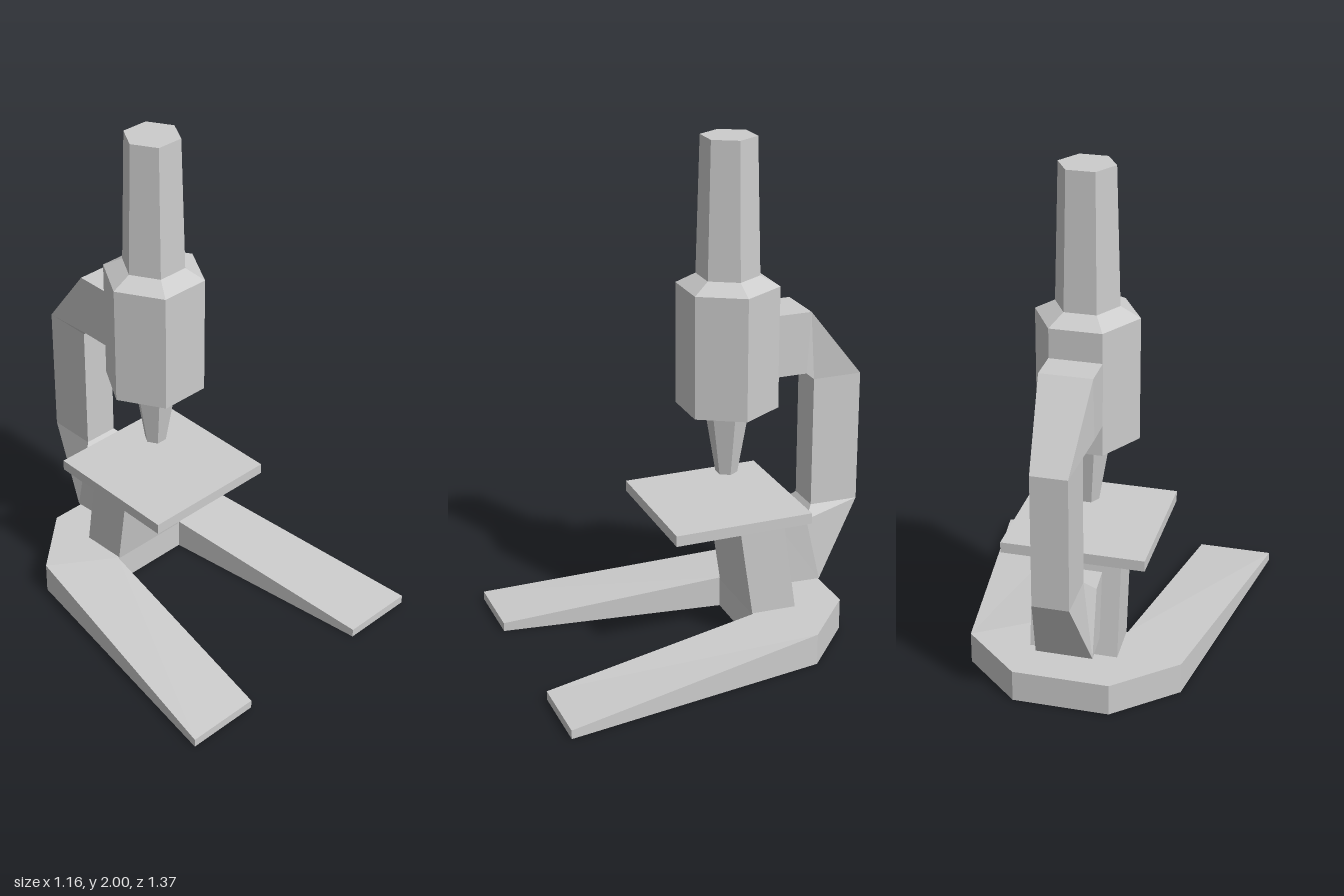
import * as THREE from 'three';

const material = new THREE.MeshStandardMaterial({ color: 0xcccccc, flatShading: true });

function addMesh(parent, name, geometry, x = 0, y = 0, z = 0) {
  const mesh = new THREE.Mesh(geometry, material);
  mesh.name = name;
  mesh.position.set(x, y, z);
  parent.add(mesh);
}

// Skins a row of four-cornered sections; each section's normal points along the row.
function loft(sections) {
  const index = [0, 2, 1, 0, 3, 2];
  for (let s = 0; s < sections.length - 1; s++) {
    for (let i = 0; i < 4; i++) {
      const j = (i + 1) % 4;
      const a = s * 4 + i, b = s * 4 + j;
      index.push(a, b, b + 4, a, b + 4, a + 4);
    }
  }
  const e = (sections.length - 1) * 4;
  index.push(e, e + 1, e + 2, e, e + 2, e + 3);
  const geometry = new THREE.BufferGeometry();
  geometry.setAttribute('position', new THREE.Float32BufferAttribute(sections.flat(2), 3));
  geometry.setIndex(index);
  const faceted = geometry.toNonIndexed();
  faceted.computeVertexNormals();
  return faceted;
}

// Upright hexagonal frustum with corners on the x axis
function hexFrustum(parent, name, bottomY, topY, bottomRadius, topRadius) {
  const geometry = new THREE.CylinderGeometry(topRadius, bottomRadius, topY - bottomY, 6);
  geometry.rotateY(Math.PI / 6);
  addMesh(parent, name, geometry, 0, (bottomY + topY) / 2, 0);
}

export function createModel() {
  const model = new THREE.Group();
  model.name = 'microscope';

  // Horseshoe base: [outer x, outer z, inner x, inner z, height], mirrored to the other leg
  const half = [
    [0.58, 0.685, 0.285, 0.685, 0.035],
    [0.417, -0.363, 0.17, -0.2, 0.127],
    [0.187, -0.57, 0.17, -0.2, 0.127],
  ];
  const mirrored = half.map(([ox, oz, ix, iz, h]) => [-ox, oz, -ix, iz, h]).reverse();
  addMesh(model, 'base', loft([...half, ...mirrored].map(([ox, oz, ix, iz, h]) => [
    [ix, 0, iz], [ix, h, iz], [ox, h, oz], [ox, 0, oz],
  ])));

  // Leaning column under the stage: [y, front z, back z]
  addMesh(model, 'column', loft([[0.12, -0.2, -0.38], [0.535, -0.138, -0.32]].map(([y, front, back]) => [
    [-0.172, y, back], [-0.165, y, front], [0.165, y, front], [0.172, y, back],
  ])));

  addMesh(model, 'stage', new THREE.BoxGeometry(0.555, 0.043, 0.555), 0, 0.552, -0.115);

  // Curved arm, top to bottom: [inner z, inner y, outer z, outer y, half width]
  const arm = [
    [-0.31, 1.075, -0.31, 1.32, 0.1],
    [-0.44, 1.075, -0.455, 1.32, 0.1],
    [-0.487, 1.035, -0.685, 1.035, 0.07],
    [-0.487, 0.508, -0.685, 0.505, 0.07],
    [-0.45, 0.465, -0.512, 0.197, 0.11],
    [-0.325, 0.465, -0.365, 0.197, 0.1],
  ];
  addMesh(model, 'arm', loft(arm.map(([iz, iy, oz, oy, w]) => [
    [-w, iy, iz], [-w, oy, oz], [w, oy, oz], [w, iy, iz],
  ])));

  // Hexagonal optical tube
  const tube = new THREE.Group();
  tube.name = 'opticalTube';
  tube.position.z = -0.153;
  model.add(tube);
  hexFrustum(tube, 'objective', 0.677, 0.953, 0.043, 0.089);
  hexFrustum(tube, 'body', 0.953, 1.435, 0.198, 0.198);
  hexFrustum(tube, 'shoulder', 1.435, 1.475, 0.198, 0.122);
  hexFrustum(tube, 'eyepiece', 1.475, 2, 0.122, 0.107);

  return model;
}
